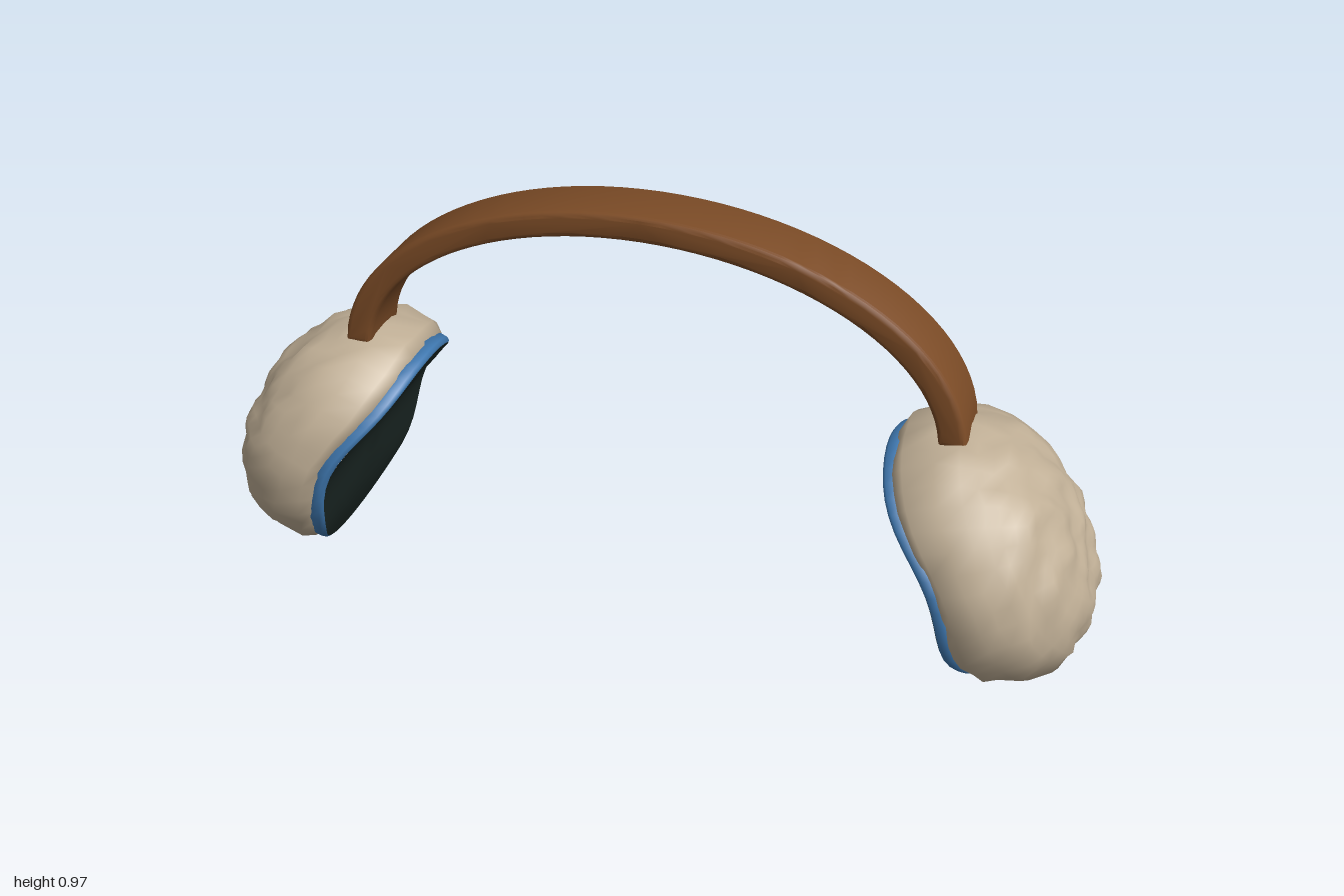
import * as THREE from 'three';
import { mergeVertices, toCreasedNormals } from 'three/addons/utils/BufferGeometryUtils.js';

const material = (color) => new THREE.MeshStandardMaterial({ color, roughness: 0.9, side: THREE.DoubleSide });
const wood = material(0x7b4b26);
const fur = material(0xbfae95);
const trim = material(0x3f78b0);
const lining = material(0x1b2724);

// Oval radii of an ear cup: along its face, and front to back
const RU = 0.312, RZ = 0.285;

// Soft rounded lumps, a smooth function of position
function wave(x, y, z) {
  return Math.sin(x) * Math.cos(y) + Math.sin(y) * Math.cos(z) + Math.sin(z) * Math.cos(x);
}
function lumps(x, y, z) {
  return 0.4 * wave(48 * x + 1, 48 * y, 48 * z + 2)
    + 0.3 * wave(55 * (x + z), 75 * y + 1, 55 * (x - z) + 3);
}

// Revolved profile [radius fraction, depth], made oval, leaned, and hollowed across the face
function cupPart(name, profile, mat, segments, bump = 0) {
  const points = profile.map(([r, d]) => new THREE.Vector2(r, d));
  let geo = new THREE.LatheGeometry(points, segments);
  geo.deleteAttribute('uv');
  geo.deleteAttribute('normal');
  const p = geo.attributes.position;
  for (let i = 0; i < p.count; i++) {
    const x = p.getX(i) * RU, y = p.getY(i), z = p.getZ(i) * RZ;
    const lump = bump * lumps(x, y, z);
    const k = 1 + lump / 0.3;
    const rise = lump * THREE.MathUtils.clamp(y / 0.1, 0, 1);
    const angle = THREE.MathUtils.clamp(Math.PI * (x + 0.04) / 0.44, -Math.PI / 2, Math.PI / 2);
    const hollow = 0.04 * Math.cos(angle) ** 2 * Math.min(1, Math.max(0, 1 - y / 0.16));
    p.setXYZ(i, x * k + 0.12 * Math.max(0, y), y + rise + hollow, z * k);
  }
  geo = mergeVertices(geo, 1e-5);
  geo.computeVertexNormals();
  const mesh = new THREE.Mesh(geo, mat);
  mesh.name = name;
  return mesh;
}

function earCup(name) {
  const cup = new THREE.Group();
  // Fluffy dome
  const dome = new THREE.SplineCurve([
    [0.86, 0.012], [0.95, 0.016], [0.995, 0.045], [1, 0.09], [0.96, 0.145],
    [0.86, 0.2], [0.68, 0.25], [0.4, 0.288], [0, 0.303],
  ].map(([r, d]) => new THREE.Vector2(r, d)));
  const domeProfile = dome.getSpacedPoints(18).map((v) => [Math.max(0, v.x), v.y]);
  cup.add(cupPart('furDome', domeProfile, fur, 40, 0.008));
  // Coloured band round the rim
  cup.add(cupPart('rimBand',
    [[0.89, -0.014], [0.91, -0.012], [0.925, -0.004], [0.93, 0.022], [0.82, 0.03]], trim, 48));
  // Dark pad that rests on the ear
  cup.add(cupPart('earPad',
    [[0, -0.014], [0.2, -0.014], [0.4, -0.014], [0.6, -0.014], [0.75, -0.014], [0.895, -0.0142]], lining, 48));
  cup.rotation.z = -1.107;
  cup.position.set(0.67, 0.273, 0);
  const side = new THREE.Group();
  side.name = name;
  side.add(cup);
  return side;
}

// Flat strip bent into a half oval, with softened edges
function headband() {
  const bevel = 0.012, baseY = 0.55, steps = 48;
  const arc = (a, b) => {
    const start = Math.asin((0.58 - baseY) / b);
    return Array.from({ length: steps + 1 }, (_, i) => {
      const t = start + (Math.PI - 2 * start) * i / steps;
      return new THREE.Vector2(a * Math.cos(t), baseY + b * Math.sin(t));
    });
  };
  const outer = arc(0.705 - bevel, 0.433 - bevel);
  const inner = arc(0.645 + bevel, 0.376 + bevel).reverse();
  const depth = 0.148 - 2 * bevel;
  const geo = new THREE.ExtrudeGeometry(new THREE.Shape([...outer, ...inner]), {
    depth, bevelEnabled: true, bevelSize: bevel, bevelThickness: bevel, bevelSegments: 3,
  });
  geo.translate(0, 0, -depth / 2);
  const mesh = new THREE.Mesh(toCreasedNormals(geo, 0.7), wood);
  mesh.name = 'headband';
  return mesh;
}

export function createModel() {
  const model = new THREE.Group();
  model.name = 'earmuffs';
  const left = earCup('leftEarCup');
  const right = earCup('rightEarCup');
  right.rotation.y = Math.PI;
  model.add(headband(), left, right);
  return model;
}
